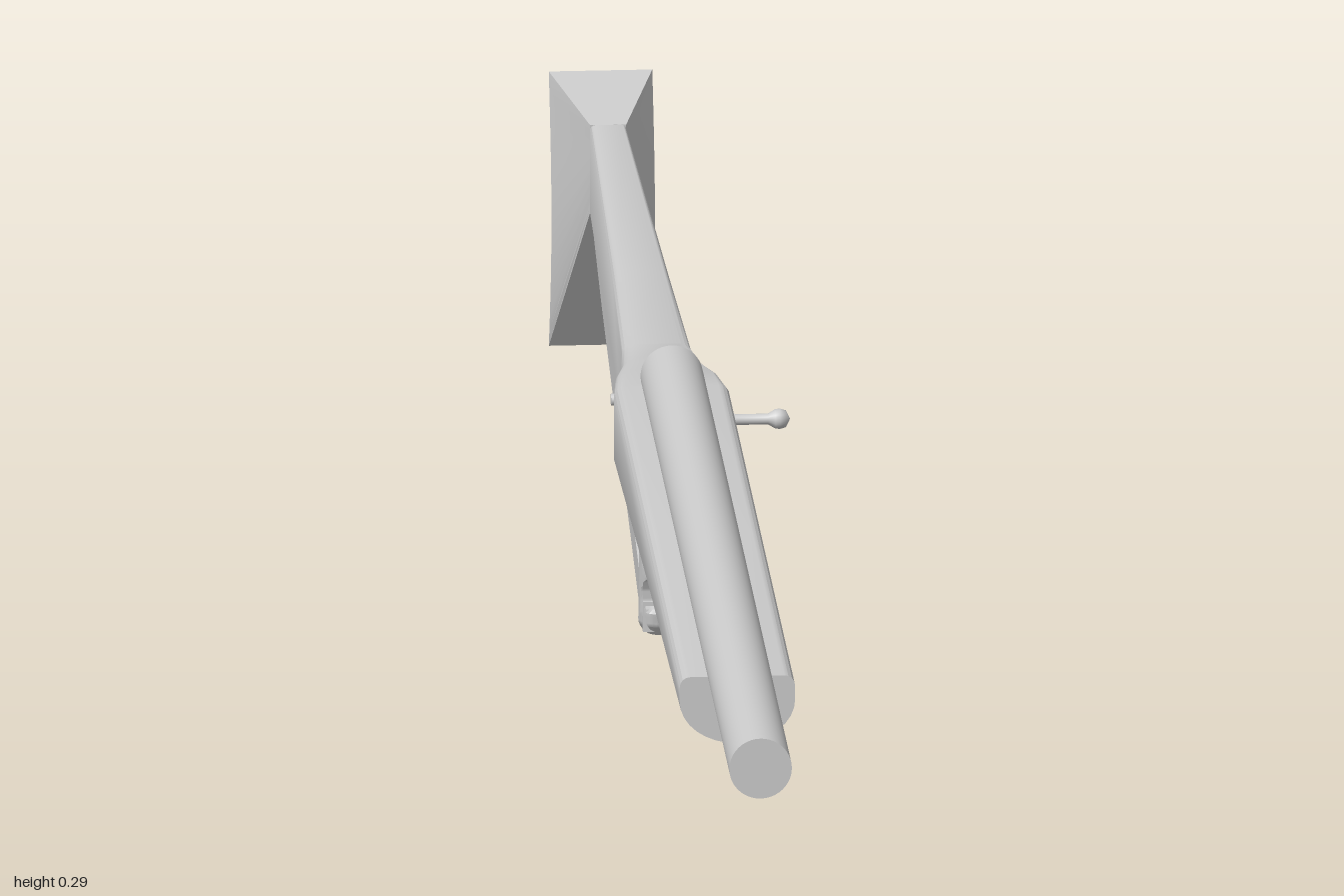
import * as THREE from 'three';
import { toCreasedNormals } from 'three/addons/utils/BufferGeometryUtils.js';

const CX = -0.026; // the long axis sits slightly off centre because of the side handle

// Skin a closed solid through rings of [x, y, z]
function loft(rings, crease = 0.6) {
  const pos = [];
  const n = rings[0].length;
  const tri = (a, b, c) => pos.push(...a, ...b, ...c);
  const centre = r => [0, 1, 2].map(k => r.reduce((s, p) => s + p[k], 0) / n);
  for (let i = 0; i < rings.length - 1; i++) {
    for (let j = 0; j < n; j++) {
      const k = (j + 1) % n;
      const [a, b, c, d] = [rings[i][j], rings[i][k], rings[i + 1][j], rings[i + 1][k]];
      tri(a, c, b);
      tri(b, c, d);
    }
  }
  const first = rings[0], last = rings[rings.length - 1];
  const c0 = centre(first), c1 = centre(last);
  for (let j = 0; j < n; j++) {
    const k = (j + 1) % n;
    tri(c0, first[j], first[k]);
    tri(c1, last[k], last[j]);
  }
  const g = new THREE.BufferGeometry();
  g.setAttribute('position', new THREE.Float32BufferAttribute(pos, 3));
  return toCreasedNormals(g, crease);
}

// Stock section: flat top with rounded corners, straight sides, arched belly
function stockRing([z, hw, top, side, bottom]) {
  const r = Math.min(0.009, hw * 0.3);
  const ring = [];
  for (let i = 0; i <= 16; i++) {
    const a = Math.PI + (i / 16) * Math.PI;
    ring.push([hw * Math.cos(a), side + (side - bottom) * Math.sin(a), z]);
  }
  for (const s of [1, -1]) {
    for (let i = 0; i <= 4; i++) {
      const a = (s > 0 ? i / 4 : 1 - i / 4) * Math.PI / 2;
      ring.push([s * (hw - r + r * Math.cos(a)), top - r + r * Math.sin(a), z]);
    }
  }
  return ring;
}

export function createModel() {
  const root = new THREE.Group();
  const model = new THREE.Group();
  model.position.x = CX;
  root.add(model);
  const mat = new THREE.MeshStandardMaterial({ color: 0xcccccc });
  const add = (name, geo, x = 0, y = 0, z = 0) => {
    const m = new THREE.Mesh(geo, mat);
    m.name = name;
    m.position.set(x, y, z);
    model.add(m);
    return m;
  };

  // Barrel
  add('barrel', new THREE.CylinderGeometry(0.026, 0.026, 1.11, 40).rotateX(Math.PI / 2), 0, 0.268, 0.445);

  // Fore-end and stock: z, half width, top, side edge, belly
  add('stock', loft([
    [0.71, 0.048, 0.259, 0.238, 0.201],
    [0.3, 0.048, 0.259, 0.22, 0.193],
    [-0.11, 0.048, 0.259, 0.196, 0.184],
    [-0.17, 0.043, 0.253, 0.184, 0.178],
    [-0.23, 0.034, 0.244, 0.176, 0.172],
    [-0.3, 0.029, 0.237, 0.171, 0.169],
    [-0.5, 0.024, 0.238, 0.169, 0.168],
    [-0.915, 0.015, 0.241, 0.166, 0.165],
  ].map(stockRing)));

  // Flared butt with a hollow rear face
  const butt = [];
  for (let i = 0; i <= 16; i++) {
    const t = i / 16;
    const yf = 0.241 - 0.076 * t, yr = 0.259 - 0.238 * t;
    const zr = -1 + 0.033 * Math.sin(Math.PI * t);
    butt.push([[0.015, yf, -0.905], [0.043, yr, zr], [-0.043, yr, zr], [-0.015, yf, -0.905]]);
  }
  add('butt', loft(butt, 0.5));

  // Strut from the grip foot up to the butt: z, lower y, upper y, half width
  add('strut', loft([[-0.245, 0.004, 0.03, 0.015], [-0.28, 0.011, 0.04, 0.015],
    [-0.76, 0.128, 0.167, 0.015], [-0.912, 0.165, 0.2, 0.014]]
    .map(([z, lo, hi, w]) => [[w, lo, z], [w, hi, z], [-w, hi, z], [-w, lo, z]])));

  // Slanted grip with three finger notches cut into its front
  const grip = [];
  for (let i = 0; i <= 60; i++) {
    const y = 0.18 - 0.18 * i / 60;
    const zc = -0.228 - 0.033 * (0.18 - y) / 0.18;
    const foot = y < 0.012 ? Math.sqrt(1 - ((0.012 - y) / 0.012) ** 2 * 0.6) : 1;
    let front = 0.019;
    for (const c of [0.113, 0.075, 0.038]) {
      const d = Math.abs(y - c) / 0.0165;
      if (d < 1) front = 0.019 - 0.011 * Math.sqrt(1 - d * d);
    }
    const ring = [];
    for (let j = 0; j < 32; j++) {
      const a = j / 32 * Math.PI * 2;
      ring.push([0.018 * foot * Math.cos(a), y, zc + Math.min(front, -0.019 * Math.sin(a)) * foot]);
    }
    grip.push(ring);
  }
  add('grip', loft(grip));

  // Trigger
  const triggerPath = new THREE.CatmullRomCurve3([[0.185, -0.195], [0.165, -0.189], [0.15, -0.182], [0.135, -0.171]]
    .map(([y, z]) => new THREE.Vector3(0, y, z)));
  add('trigger', new THREE.TubeGeometry(triggerPath, 12, 0.0045, 10));
  add('triggerTip', new THREE.SphereGeometry(0.0045, 10, 8), 0, 0.135, -0.171);

  // Rounded lug under the stock
  add('lug', new THREE.CylinderGeometry(0.012, 0.012, 0.014, 20).rotateZ(Math.PI / 2), 0, 0.183, -0.108);

  // Side handle with its knob and slot plate
  const handle = new THREE.LatheGeometry([[0, 0], [0.007, 0], [0.007, 0.01], [0.0045, 0.013], [0.0045, 0.04],
    [0.008, 0.046], [0.0085, 0.05], [0.007, 0.055], [0, 0.0585]]
    .map(p => new THREE.Vector2(...p)), 20).rotateZ(-Math.PI / 2);
  add('handle', handle, 0.041, 0.223, -0.128);
  add('handleSlot', new THREE.BoxGeometry(0.003, 0.012, 0.06), 0.0475, 0.223, -0.098);

  // Cross pin
  add('pin', new THREE.CylinderGeometry(0.005, 0.005, 0.09, 16).rotateZ(Math.PI / 2), 0, 0.222, -0.194);

  // Small latch behind the barrel
  add('latch', new THREE.BoxGeometry(0.009, 0.04, 0.008), 0, 0.267, -0.115).rotation.x = 0.2;
  add('latchKnob', new THREE.CylinderGeometry(0.005, 0.005, 0.014, 14).rotateZ(Math.PI / 2), 0, 0.284, -0.114);

  return root;
}
